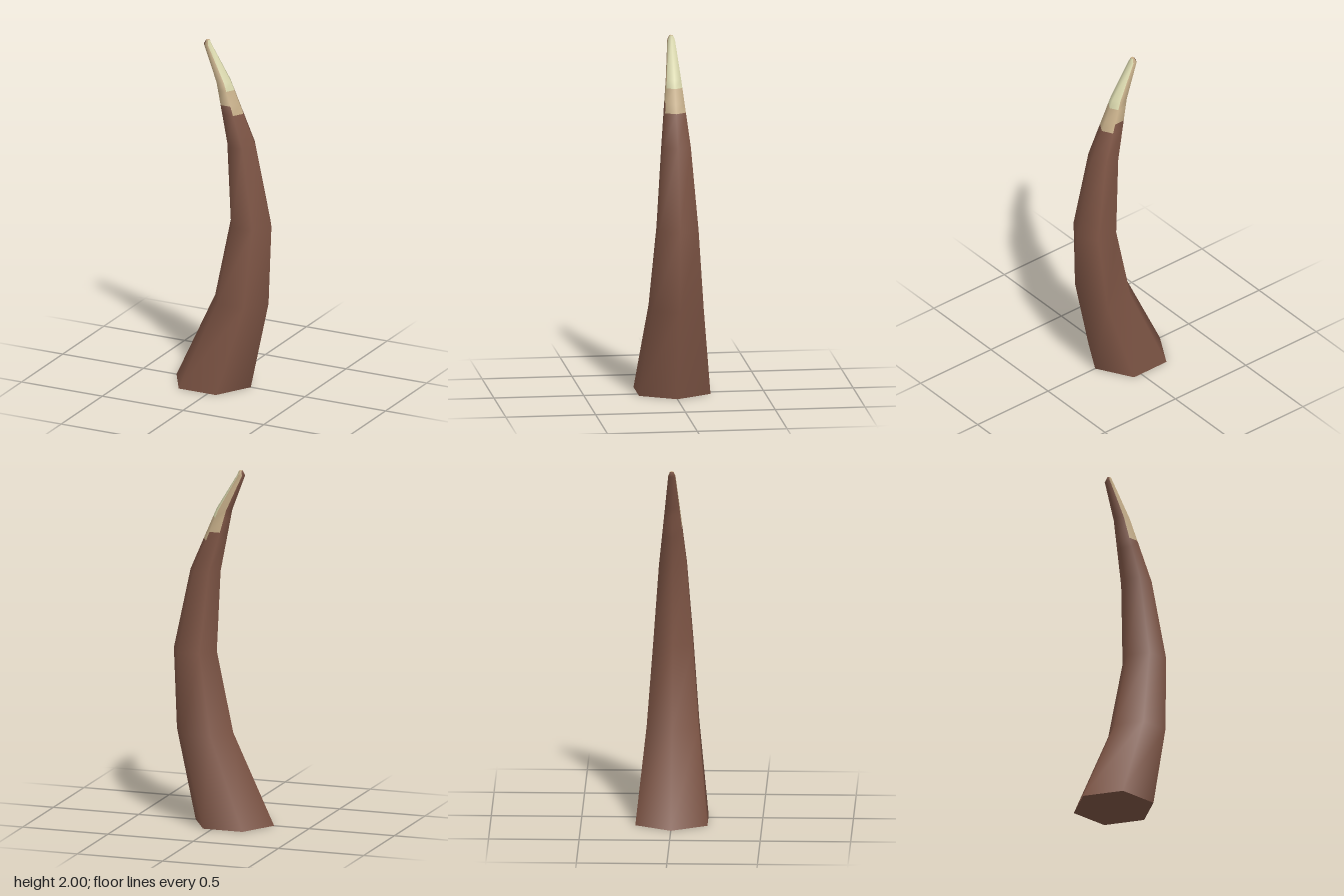
import * as THREE from 'three';

const SIDES = 6;

// Horn cross-sections from base to tip: [height, centre x, radius]
const SECTIONS = [
  [0, -0.065, 0.23],
  [0.51, 0.11, 0.165],
  [0.965, 0.167, 0.126],
  [1.42, 0.107, 0.088],
  [1.775, -0.004, 0.046],
  [1.975, -0.102, 0.023],
  [2.0, -0.1, 0.011],
];

// Heights where the colour changes on some faces
const COLOUR_BREAKS = [1.6, 1.65, 1.73];

function withBreaks(sections, heights) {
  const rings = sections.map((s) => [...s]);
  for (const y of heights) {
    const i = rings.findIndex((r) => r[0] > y);
    const a = rings[i - 1], b = rings[i];
    const t = (y - a[0]) / (b[0] - a[0]);
    rings.splice(i, 0, a.map((v, j) => v + (b[j] - v) * t));
  }
  return rings;
}

// 0 = brown, 1 = tan, 2 = pale; outer faces are palest, inner faces stay brown
function faceColour(side, y) {
  if (side === 2 || side === 3) return 0;
  const outer = side === 0 || side === 5;
  if (outer) return y > 1.73 ? 2 : y > 1.6 ? 1 : 0;
  return y > 1.65 ? 1 : 0;
}

function hornGeometry() {
  const rings = withBreaks(SECTIONS, COLOUR_BREAKS);
  const positions = [];
  for (const [y, cx, r] of rings) {
    for (let k = 0; k < SIDES; k++) {
      const a = (k / SIDES) * Math.PI * 2;
      positions.push(cx + r * Math.cos(a), y, r * Math.sin(a));
    }
  }

  // Collect the faces by colour, sharing vertices so shading stays smooth
  const faces = [[], [], []];
  for (let i = 0; i < rings.length - 1; i++) {
    const midY = (rings[i][0] + rings[i + 1][0]) / 2;
    for (let k = 0; k < SIDES; k++) {
      const a = i * SIDES + k;
      const b = i * SIDES + ((k + 1) % SIDES);
      const c = a + SIDES, d = b + SIDES;
      faces[faceColour(k, midY)].push(b, a, c, b, c, d);
    }
  }

  const geometry = new THREE.BufferGeometry();
  geometry.setAttribute('position', new THREE.Float32BufferAttribute(positions, 3));
  geometry.setIndex(faces.flat());
  let start = 0;
  faces.forEach((list, m) => {
    geometry.addGroup(start, list.length, m);
    start += list.length;
  });
  geometry.computeVertexNormals();
  return geometry;
}

export function createModel() {
  const brown = new THREE.MeshStandardMaterial({ color: 0x7e5545 });
  brown.name = 'hornBrown';
  const tan = new THREE.MeshStandardMaterial({ color: 0xc8b08a });
  tan.name = 'hornTan';
  const pale = new THREE.MeshStandardMaterial({ color: 0xdbd9ae });
  pale.name = 'hornPale';

  const model = new THREE.Group();
  model.name = 'horn';

  // Curved tapering shaft
  const shaft = new THREE.Mesh(hornGeometry(), [brown, tan, pale]);
  shaft.name = 'hornShaft';
  model.add(shaft);

  // Flat ends
  const addCap = (name, [y, cx, r], turn, material) => {
    const cap = new THREE.Mesh(new THREE.CircleGeometry(r, SIDES).rotateX(turn), material);
    cap.name = name;
    cap.position.set(cx, y, 0);
    model.add(cap);
  };
  addCap('hornBase', SECTIONS[0], Math.PI / 2, brown);
  addCap('hornTip', SECTIONS[SECTIONS.length - 1], -Math.PI / 2, tan);

  return model;
}
